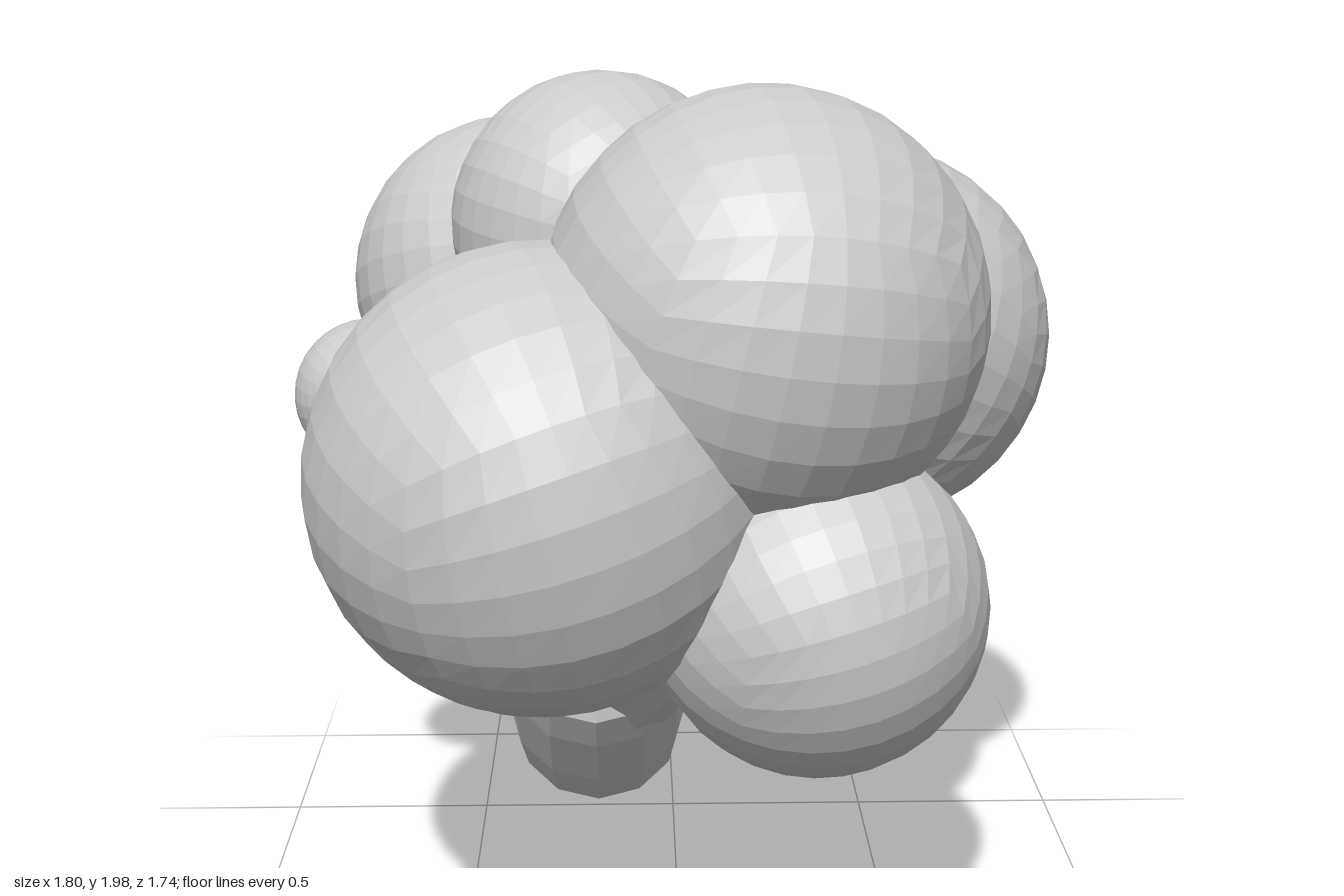
import * as THREE from 'three';

const material = new THREE.MeshStandardMaterial({ color: 0xcccccc, flatShading: true, side: THREE.DoubleSide });

// Ball with square facets: a subdivided cube pushed out to a sphere
function floret(name, [x, y, z], r, tilt) {
  const geo = new THREE.BoxGeometry(2, 2, 2, 8, 8, 8);
  const pos = geo.attributes.position;
  const v = new THREE.Vector3();
  const even = (a) => Math.tan(a * Math.PI / 4);
  for (let i = 0; i < pos.count; i++) {
    v.fromBufferAttribute(pos, i);
    v.set(even(v.x), even(v.y), even(v.z)).setLength(r);
    pos.setXYZ(i, v.x, v.y, v.z);
  }
  geo.computeVertexNormals();
  const mesh = new THREE.Mesh(geo, material);
  mesh.name = name;
  mesh.position.set(x, y, z);
  mesh.rotation.set(...tilt);
  return mesh;
}

// Faceted limb lofted through rings, each given as [x, y, z, radius]
function limb(name, rings, sides) {
  const points = rings.map(([x, y, z]) => new THREE.Vector3(x, y, z));
  const verts = [], index = [];
  const last = rings.length - 1;
  rings.forEach((ring, i) => {
    const dir = points[Math.min(i + 1, last)].clone().sub(points[Math.max(i - 1, 0)]).normalize();
    const u = new THREE.Vector3(1, 0, 0).addScaledVector(dir, -dir.x).normalize();
    const w = dir.clone().cross(u);
    for (let k = 0; k < sides; k++) {
      const a = (k / sides) * Math.PI * 2;
      const p = points[i].clone()
        .addScaledVector(u, Math.cos(a) * ring[3])
        .addScaledVector(w, Math.sin(a) * ring[3]);
      verts.push(p.x, p.y, p.z);
      if (i < last) {
        const n = i * sides + k, m = i * sides + (k + 1) % sides;
        index.push(n, m, m + sides, n, m + sides, n + sides);
      }
    }
  });
  // End caps
  for (let k = 1; k < sides - 1; k++) {
    const e = last * sides;
    index.push(0, k + 1, k, e, e + k, e + k + 1);
  }
  const geo = new THREE.BufferGeometry();
  geo.setAttribute('position', new THREE.Float32BufferAttribute(verts, 3));
  geo.setIndex(index);
  geo.computeVertexNormals();
  const mesh = new THREE.Mesh(geo, material);
  mesh.name = name;
  return mesh;
}

export function createModel() {
  const group = new THREE.Group();
  group.name = 'broccoli';

  // Crown of florets
  group.add(
    floret('frontRightFloret', [-0.3, 1.165, 0.36], 0.515, [0.3, 0.3, 0.2]),
    floret('topFrontFloret', [0.18, 1.515, 0.295], 0.485, [0.3, 0.2, -0.2]),
    floret('leftFloret', [0.445, 1.35, -0.265], 0.455, [-0.2, 0.2, -0.4]),
    floret('lowFrontFloret', [0.295, 0.89, 0.41], 0.375, [0.6, 0.3, 0.1]),
    floret('backFloret', [-0.38, 1.455, -0.435], 0.402, [-0.4, 0.5, 0.2]),
    floret('topFloret', [-0.17, 1.64, -0.14], 0.35, [0.1, 0.6, 0.1]),
    floret('smallFloret', [-0.72, 1.235, -0.14], 0.18, [0, 0.2, 0.4]),
  );

  // Leaning trunk with a bevelled foot and a rounded crotch
  group.add(limb('trunk', [
    [-0.2, 0.115, -0.73, 0.165],
    [-0.2, 0.16, -0.695, 0.22],
    [-0.2, 0.27, -0.6, 0.238],
    [-0.2, 0.42, -0.48, 0.243],
    [-0.2, 0.51, -0.405, 0.235],
    [-0.2, 0.57, -0.355, 0.17],
  ], 12));

  // Branches reaching up into the florets
  const branches = {
    frontRightBranch: [[-0.3, 0.41, -0.42, 0.13], [-0.34, 0.55, -0.23, 0.12], [-0.4, 0.74, 0.06, 0.09], [-0.41, 0.88, 0.22, 0.085]],
    frontLeftBranch: [[-0.12, 0.39, -0.42, 0.14], [-0.05, 0.52, -0.21, 0.115], [0.07, 0.71, 0.07, 0.085], [0.15, 0.8, 0.22, 0.08]],
    leftBranch: [[-0.12, 0.43, -0.48, 0.14], [-0.02, 0.62, -0.46, 0.12], [0.2, 0.93, -0.425, 0.085], [0.3, 1.07, -0.4, 0.08]],
    backBranch: [[-0.25, 0.45, -0.5, 0.16], [-0.27, 0.66, -0.48, 0.135], [-0.3, 1.0, -0.5, 0.095], [-0.32, 1.2, -0.49, 0.09]],
  };
  for (const [name, rings] of Object.entries(branches)) group.add(limb(name, rings, 8));

  return group;
}
